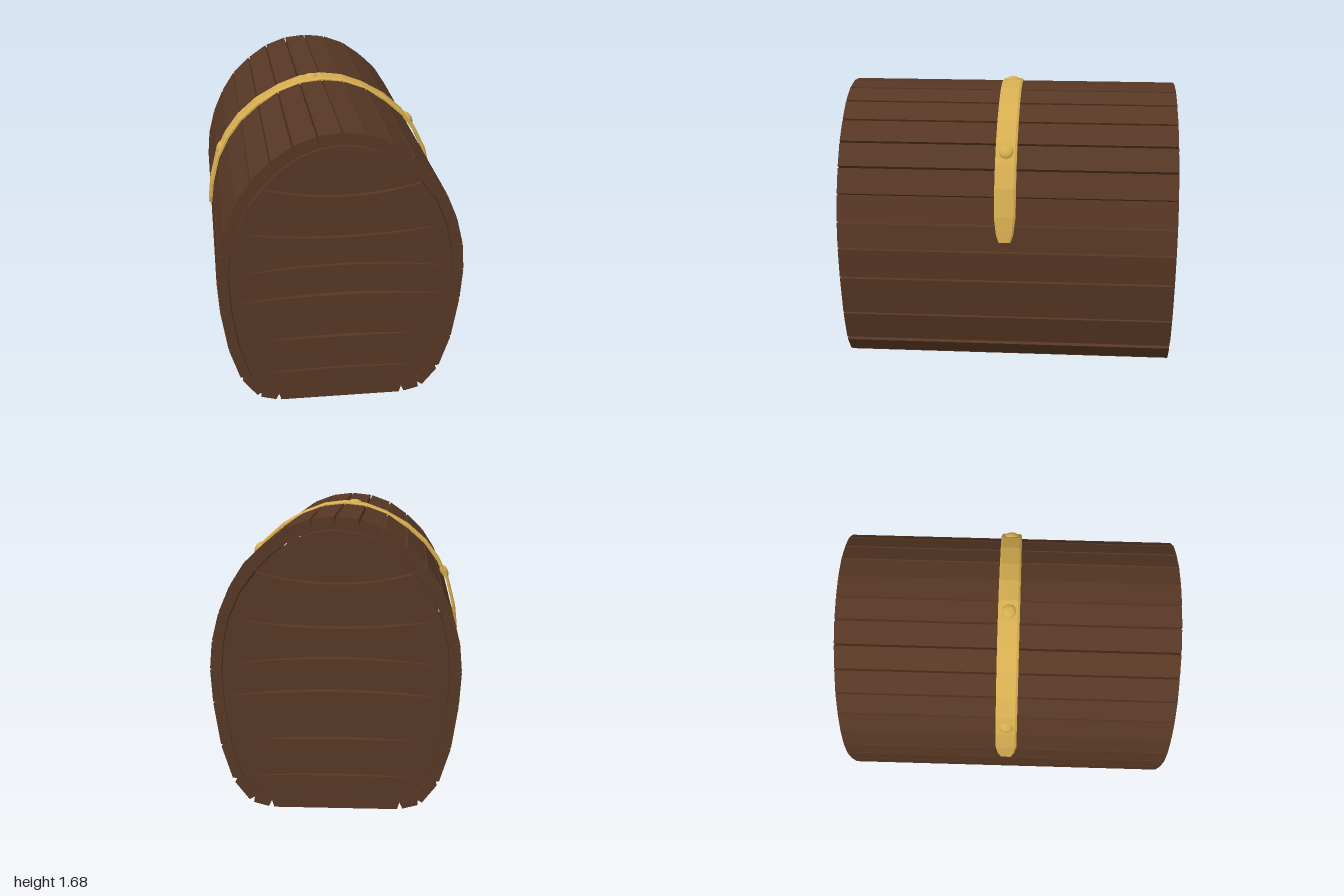
import * as THREE from 'three';

const V = (x, y) => new THREE.Vector2(x, y);

// Right half of the body section, top to bottom: outer and inner stave seams
const OUTER = [[0, 1.655], [0.135, 1.64], [0.27, 1.59], [0.39, 1.505], [0.5, 1.4], [0.583, 1.27], [0.647, 1.12],
  [0.687, 0.96], [0.7, 0.8], [0.687, 0.61], [0.647, 0.36], [0.58, 0.155], [0.48, 0.03], [0.365, 0]];
const INNER = [[0, 1.588], [0.12, 1.57], [0.235, 1.53], [0.35, 1.45], [0.445, 1.35], [0.528, 1.24], [0.59, 1.1],
  [0.625, 0.95], [0.636, 0.79], [0.625, 0.61], [0.585, 0.37], [0.525, 0.175], [0.445, 0.08], [0.36, 0.066]];

// Mirror a half profile that starts on the centre line into a full loop
function mirrorLoop(half) {
  const right = half.map(([x, y]) => V(x, y));
  const left = half.filter(([x]) => x > 0).reverse().map(([x, y]) => V(-x, y));
  return right.concat(left);
}

function extrude(points, z0, z1) {
  const g = new THREE.ExtrudeGeometry(new THREE.Shape(points), { depth: z1 - z0, bevelEnabled: false });
  return g.translate(0, 0, z0);
}

function add(group, name, geometry, material) {
  const mesh = new THREE.Mesh(geometry, material);
  mesh.name = name;
  group.add(mesh);
  return mesh;
}

// Long staves around the body, with a V groove cut at every seam
function buildStaves(wood) {
  const group = new THREE.Group();
  group.name = 'staves';
  const outer = mirrorLoop(OUTER), inner = mirrorLoop(INNER), n = outer.length;
  const gapAt = i => (Math.min(i, n - i) >= 11 ? 0.015 : 0.006);
  for (let i = 0; i < n; i++) {
    const j = (i + 1) % n;
    const a = outer[i], b = outer[j], dir = b.clone().sub(a).normalize();
    const points = [
      a.clone().addScaledVector(dir, gapAt(i)),
      b.clone().addScaledVector(dir, -gapAt(j)),
      b.clone().lerp(inner[j], 0.6), inner[j].clone(),
      inner[i].clone(), a.clone().lerp(inner[i], 0.6),
    ];
    add(group, 'stave', extrude(points, -0.99, 0.995), wood);
  }
  return group;
}

// Head boards: seams given as height at the edge, height in the middle, gap and gap reach
const SEAMS = [
  { end: 0.185, mid: 0.202, gap: 0.012, reach: 0.5 },
  { end: 0.395, mid: 0.417, gap: 0.018, reach: 0.42 },
  { end: 0.65, mid: 0.69, gap: 0.018, reach: 0.62 },
  { end: 0.83, mid: 0.876, gap: 0.013, reach: 0.62 },
  { end: 1.092, mid: 1.047, gap: 0.015, reach: 0.58 },
  { end: 1.35, mid: 1.292, gap: 0.014, reach: 0.9 },
];
const RIM = INNER.map(([x, y], i) => [Math.max(0, x - 0.006), y + (i > 11 ? 0.006 : -0.005 * (1 - i / 11))]);

function rimWidth(y) {
  for (let i = 0; i < RIM.length - 1; i++) {
    const [x0, y0] = RIM[i], [x1, y1] = RIM[i + 1];
    if (y <= y0 && y >= y1) return x0 + (x1 - x0) * (y0 - y) / (y0 - y1);
  }
  return 0;
}

// Half of a seam edge from the centre line out to the rim; side is +1 above, -1 below
function seamEdge({ end, mid, gap, reach }, side) {
  const w = rimWidth(end), points = [];
  for (let i = 0; i <= 8; i++) {
    const x = w * i / 8;
    const open = Math.max(0, 1 - (x / reach) ** 2);
    points.push([x, mid + (end - mid) * (i / 8) ** 2 + side * gap / 2 * open]);
  }
  return points;
}

function buildHead(name, z0, z1, wood) {
  const group = new THREE.Group();
  group.name = name;
  for (let k = 0; k <= SEAMS.length; k++) {
    const low = SEAMS[k - 1], high = SEAMS[k];
    const yLow = low ? low.end : -1, yHigh = high ? high.end : 9;
    const half = low ? seamEdge(low, 1) : [[0, RIM[13][1]]];
    half.push(...RIM.filter(([, y]) => y > yLow + 0.012 && y < yHigh - 0.012).reverse());
    if (high) half.push(...seamEdge(high, -1).reverse());
    add(group, 'headBoard', extrude(mirrorLoop(half), z0, z1), wood);
  }
  return group;
}

// Flat-shaded closed skin over a list of equal rings
function loft(rings) {
  const pos = [], tri = (...v) => v.forEach(p => pos.push(p.x, p.y, p.z));
  const m = rings[0].length, last = rings[rings.length - 1];
  for (let i = 0; i < rings.length - 1; i++) {
    for (let j = 0; j < m; j++) {
      const k = (j + 1) % m;
      const a = rings[i][j], b = rings[i][k], c = rings[i + 1][k], d = rings[i + 1][j];
      tri(a, d, c);
      tri(a, c, b);
    }
  }
  for (let j = 1; j < m - 1; j++) {
    tri(rings[0][0], rings[0][j], rings[0][j + 1]);
    tri(last[0], last[j + 1], last[j]);
  }
  const g = new THREE.BufferGeometry();
  g.setAttribute('position', new THREE.Float32BufferAttribute(pos, 3));
  g.computeVertexNormals();
  return g;
}

// Bevelled band over the top with tapered tips
function buildStrap(gold) {
  const half = [[0, 1.67], [0.13, 1.654], [0.26, 1.605], [0.4, 1.525], [0.515, 1.423], [0.597, 1.31],
    [0.66, 1.18], [0.7, 1.02], [0.712, 0.91], [0.716, 0.868]];
  const path = half.slice(1).reverse().map(([x, y]) => V(x, y)).concat(half.map(([x, y]) => V(-x, y)));
  const n = path.length, t = 0.02;
  const rings = path.map((p, i) => {
    const dir = path[Math.min(i + 1, n - 1)].clone().sub(path[Math.max(i - 1, 0)]).normalize();
    const out = V(dir.y, -dir.x);
    const h = [0.036, 0.05][Math.min(i, n - 1 - i)] ?? 0.063;
    return [[-h, -t], [-h, -t * 0.4], [-h * 0.8, 0], [h * 0.8, 0], [h, -t * 0.4], [h, -t]]
      .map(([z, o]) => new THREE.Vector3(p.x + out.x * o, p.y + out.y * o, z + 0.006));
  });
  return loft(rings);
}

export function createModel() {
  const model = new THREE.Group();
  model.name = 'woodenChest';
  const wood = new THREE.MeshStandardMaterial({ color: 0x573724 });
  wood.name = 'dark wood';
  const gold = new THREE.MeshStandardMaterial({ color: 0xd6ae50 });
  gold.name = 'gold';

  model.add(buildStaves(wood));
  model.add(buildHead('frontHead', 0.93, 1, wood));
  model.add(buildHead('backHead', -1, -0.93, wood));
  add(model, 'strap', buildStrap(gold), gold);

  // Domed rivets: position and tilt of the outward direction
  for (const [x, y, tilt] of [[-0.628, 1.228, 1.08], [-0.065, 1.656, 0.12], [0.55, 1.37, -0.92]]) {
    const rivet = add(model, 'rivet', new THREE.SphereGeometry(0.044, 12, 8), gold);
    rivet.position.set(x, y, 0.006);
    rivet.rotation.z = tilt;
    rivet.scale.y = 0.55;
  }
  return model;
}
